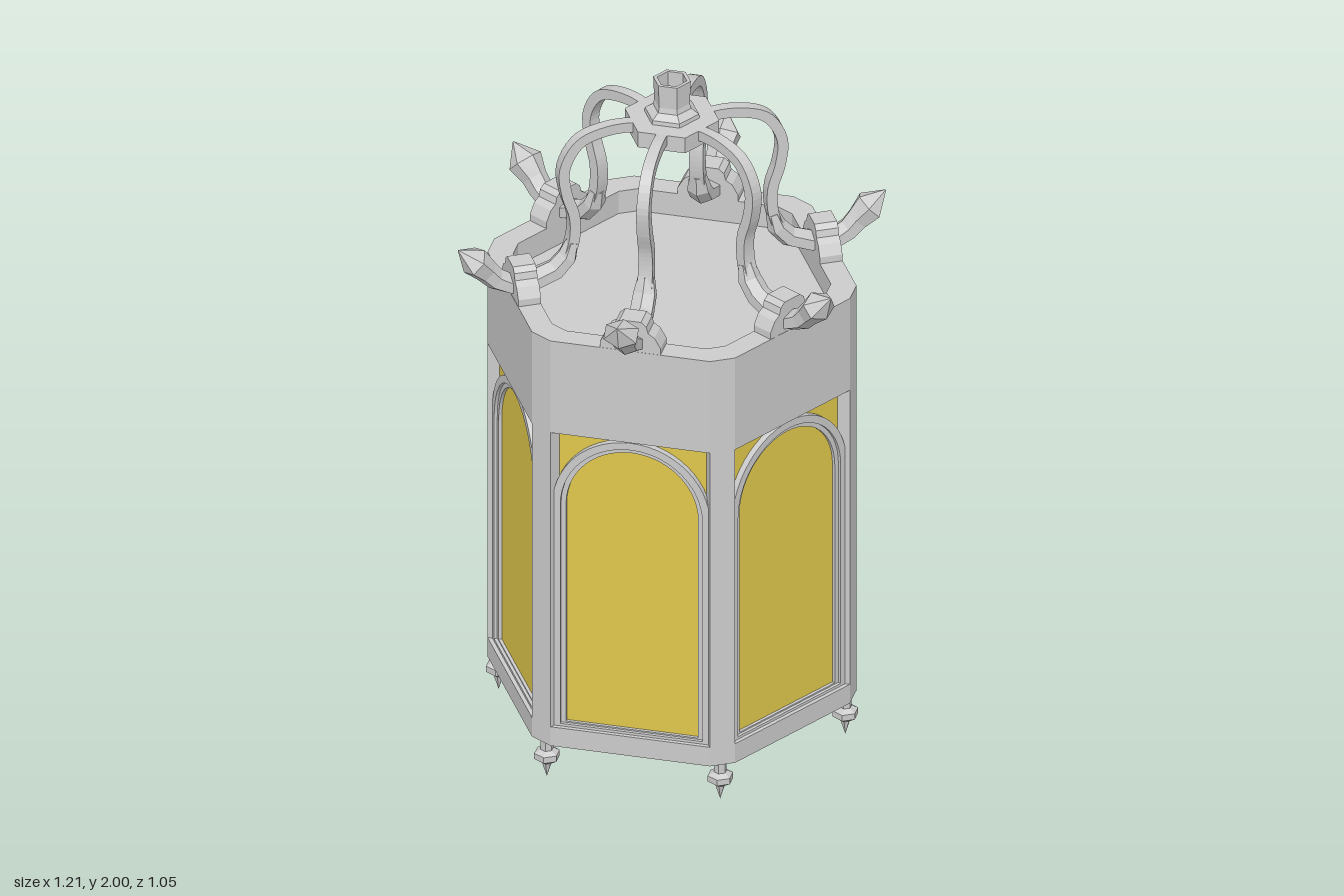
import * as THREE from 'three';

const metal = new THREE.MeshStandardMaterial({ color: 0xcccccc, flatShading: true });
const thin = new THREE.MeshStandardMaterial({ color: 0xcccccc, flatShading: true, side: THREE.DoubleSide });
const glass = new THREE.MeshStandardMaterial({ color: 0xe0c84c, flatShading: true });

function add(parent, name, geometry, material = metal) {
  const mesh = new THREE.Mesh(geometry, material);
  mesh.name = name;
  parent.add(mesh);
  return mesh;
}

// Hexagon with cut corners; r = distance to the cut, hw = half its width
function hexPoints(r, hw) {
  const pts = [];
  for (let i = 0; i < 6; i++) {
    const a = Math.PI / 6 + i * Math.PI / 3;
    for (const s of [-hw, hw]) {
      pts.push(new THREE.Vector2(r * Math.cos(a) - s * Math.sin(a), r * Math.sin(a) + s * Math.cos(a)));
    }
  }
  return pts;
}
const OUTER = hexPoints(0.51, 0.036);
const INNER = hexPoints(0.44, 0.028);

function slab(points, y0, y1, hole) {
  const shape = new THREE.Shape(points);
  if (hole) shape.holes.push(new THREE.Path(hole));
  return new THREE.ExtrudeGeometry(shape, { depth: y1 - y0, bevelEnabled: false })
    .rotateX(-Math.PI / 2).translate(0, y0, 0);
}

// Sweep a section along stations [x, y, half width, half thickness] in the XY plane
function sweep(stations, section) {
  const n = section.length, pos = [], idx = [];
  stations.forEach(([x, y, w, t], i) => {
    const p = stations[Math.max(i - 1, 0)], q = stations[Math.min(i + 1, stations.length - 1)];
    const len = Math.hypot(q[0] - p[0], q[1] - p[1]);
    const tx = (q[0] - p[0]) / len, ty = (q[1] - p[1]) / len;
    for (const [v, u] of section) pos.push(x - ty * v * t, y + tx * v * t, u * w);
  });
  const last = (stations.length - 1) * n;
  for (let i = 0; i < last; i += n) {
    for (let j = 0; j < n; j++) {
      const k = (j + 1) % n;
      idx.push(i + j, i + k, i + n + j, i + k, i + n + k, i + n + j);
    }
  }
  for (let j = 1; j < n - 1; j++) idx.push(0, j + 1, j, last, last + j, last + j + 1);
  const g = new THREE.BufferGeometry();
  g.setAttribute('position', new THREE.Float32BufferAttribute(pos, 3));
  g.setIndex(idx);
  g.computeVertexNormals();
  return g;
}
const SQUARE = [[1, -1], [1, 1], [-1, 1], [-1, -1]];
const RIDGED = [[1, 0], [0.5, 1], [-0.5, 1], [-1, 0], [-0.5, -1], [0.5, -1]];

// Round-headed outline with its foot at y = foot
function archPath(Type, r, spring, foot) {
  const p = new Type();
  p.moveTo(-r, foot);
  p.lineTo(r, foot);
  p.lineTo(r, spring);
  p.absarc(0, spring, r, 0, Math.PI, false);
  p.lineTo(-r, foot);
  return p;
}
function archTrim(outer, inner, foot, depth) {
  const shape = archPath(THREE.Shape, outer, 0.88, 0.18);
  shape.holes.push(archPath(THREE.Path, inner, 0.88, foot));
  return new THREE.ExtrudeGeometry(shape, { depth, bevelEnabled: false, curveSegments: 14 })
    .translate(0, 0, 0.428);
}

// Bell-shaped saddle standing on the rim
function saddleGeometry() {
  const half = [[0.085, 1.39], [0.085, 1.42], [0.068, 1.45], [0.05, 1.462], [0.045, 1.482], [0.03, 1.495]];
  const left = half.map(([x, y]) => [-x, y]).reverse();
  const shape = new THREE.Shape([...half, ...left].map(([x, y]) => new THREE.Vector2(x, y)));
  return new THREE.ExtrudeGeometry(shape, { depth: 0.064, bevelEnabled: false })
    .rotateY(Math.PI / 2).translate(0.395, 0, 0);
}

function lathe(profile) {
  return new THREE.LatheGeometry(profile.map(([x, y]) => new THREE.Vector2(x, y)), 6);
}

export function createModel() {
  const lantern = new THREE.Group();
  lantern.name = 'lantern';

  // Body
  add(lantern, 'basePlate', slab(OUTER, 0.12, 0.18));
  add(lantern, 'upperBand', slab(OUTER, 1.11, 1.4, INNER));
  add(lantern, 'roofPlate', slab(INNER, 1.11, 1.33));

  // Shared geometry for the six sides
  const pane = new THREE.BoxGeometry(0.49, 0.95, 0.01).translate(0, 0.645, 0.425);
  const outerTrim = archTrim(0.222, 0.2, 0.18 + 0.008, 0.02);
  const innerTrim = archTrim(0.205, 0.186, 0.18 + 0.012, 0.011);
  const post = new THREE.BoxGeometry(0.06, 0.95, 0.072).translate(0.48, 0.645, 0);
  const saddle = saddleGeometry();
  const finial = lathe([[0, 0], [0.014, 0.045], [0.036, 0.06], [0.036, 0.078], [0.018, 0.088], [0.018, 0.125]]);

  const armCurve = new THREE.CatmullRomCurve3([
    [0.07, 1.855], [0.11, 1.872], [0.19, 1.872], [0.265, 1.845], [0.308, 1.77],
    [0.302, 1.69], [0.281, 1.62], [0.281, 1.55], [0.3, 1.48],
  ].map(([x, y]) => new THREE.Vector3(x, y, 0)));
  const arm = sweep(armCurve.getPoints(36).map((p, i) => [p.x, p.y, 0.014 + i * 0.0002, 0.015]), SQUARE);

  const horn = sweep([
    [0.283, 1.535, 0.022, 0.018], [0.296, 1.49, 0.03, 0.028], [0.33, 1.452, 0.031, 0.03],
    [0.39, 1.43, 0.034, 0.03], [0.46, 1.428, 0.034, 0.03], [0.5, 1.448, 0.031, 0.032],
    [0.525, 1.475, 0.032, 0.034], [0.56, 1.512, 0.046, 0.042], [0.605, 1.553, 0.002, 0.002],
  ], RIDGED);

  for (let i = 0; i < 6; i++) {
    const angle = i * Math.PI / 3;

    // Glazed face with its arch mouldings
    const face = new THREE.Group();
    face.name = 'face' + (i + 1);
    face.rotation.y = angle + Math.PI / 2;
    add(face, 'glassPane', pane, glass);
    add(face, 'outerArchTrim', outerTrim);
    add(face, 'innerArchTrim', innerTrim);
    lantern.add(face);

    // Crown bracket above the face
    const bracket = new THREE.Group();
    bracket.name = 'crownBracket' + (i + 1);
    bracket.rotation.y = angle;
    add(bracket, 'rimSaddle', saddle);
    add(bracket, 'curvedArm', arm);
    add(bracket, 'budHorn', horn);
    lantern.add(bracket);

    // Corner post and hanging finial
    const corner = new THREE.Group();
    corner.name = 'corner' + (i + 1);
    corner.rotation.y = angle + Math.PI / 6;
    add(corner, 'cornerPost', post);
    add(corner, 'bottomFinial', finial).position.x = 0.488;
    lantern.add(corner);
  }

  // Hub and hollow hanging socket
  add(lantern, 'crownHub', lathe([[0, 1.84], [0.133, 1.84], [0.133, 1.888], [0, 1.888]]));
  add(lantern, 'hangingSocket', lathe([
    [0.078, 1.885], [0.076, 1.9], [0.054, 1.915], [0.05, 1.93], [0.053, 2],
    [0.042, 2], [0.042, 1.9], [0, 1.9],
  ]), thin);

  return lantern;
}
